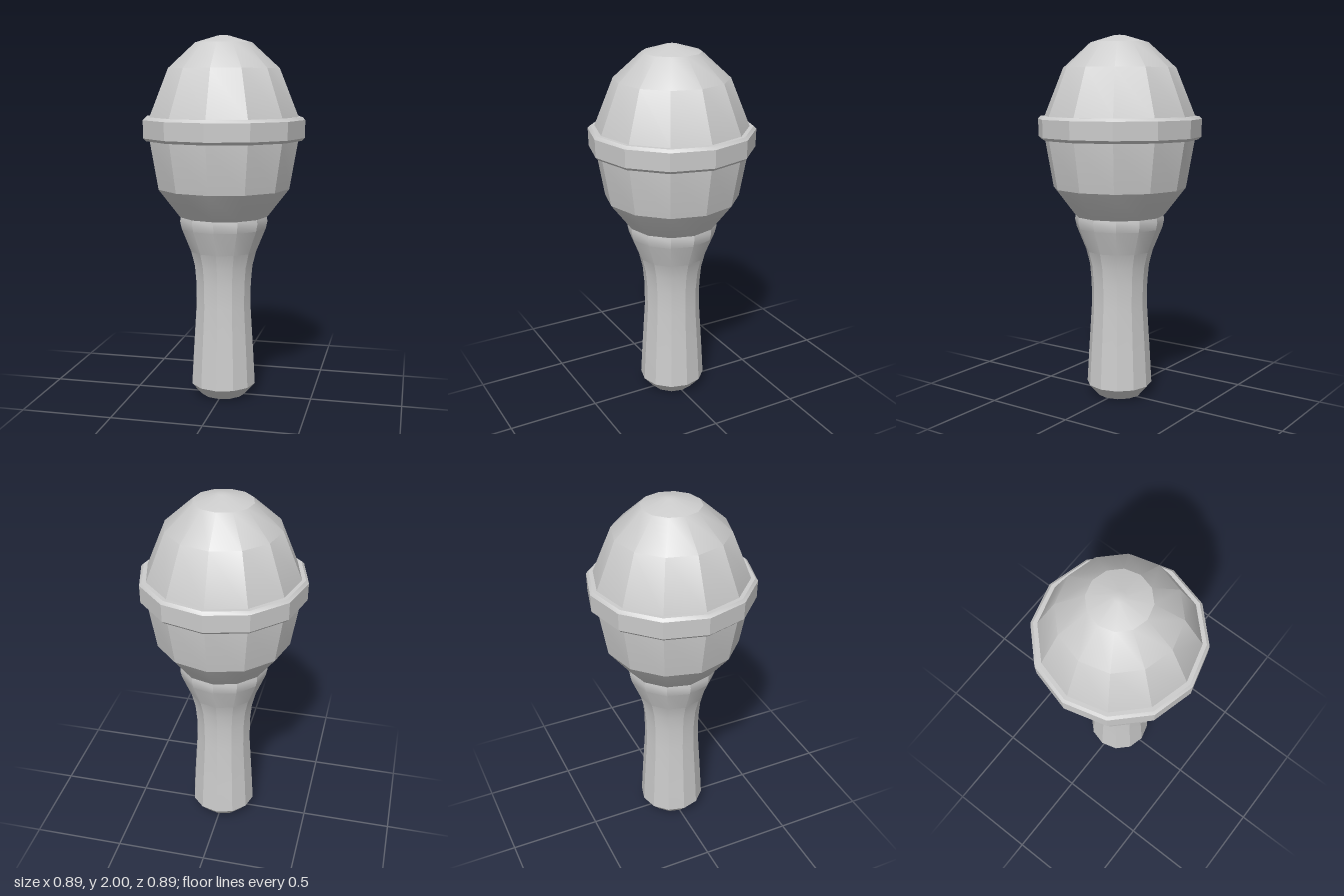
import * as THREE from 'three';
import { toCreasedNormals } from 'three/addons/utils/BufferGeometryUtils.js';

const SIDES = 12;

export function createModel() {
  const group = new THREE.Group();
  const grey = new THREE.MeshStandardMaterial({ color: 0xcccccc });

  // Turned part from [radius, height] pairs, listed bottom to top on the outside
  const turn = (name, profile, crease = 0.45) => {
    const points = profile.map(([r, y]) => new THREE.Vector2(r, y));
    const geometry = toCreasedNormals(new THREE.LatheGeometry(points, SIDES), crease);
    const mesh = new THREE.Mesh(geometry, grey);
    mesh.name = name;
    group.add(mesh);
  };

  // Waisted grip with chamfered foot and flared collar
  turn('handle', [
    [0, 0], [0.125, 0.005], [0.182, 0.07], [0.172, 0.25], [0.155, 0.52],
    [0.156, 0.65], [0.165, 0.75], [0.185, 0.83], [0.238, 0.96],
    [0.247, 1.0], [0.244, 1.025], [0.225, 1.035], [0, 1.035],
  ], 0.5);

  // Lower half of the head
  turn('headBase', [
    [0, 1.02], [0.24, 1.02], [0.25, 1.03], [0.365, 1.18], [0.41, 1.44], [0.41, 1.46],
  ]);

  // Band around the widest part, with small bevels
  turn('band', [
    [0.39, 1.442], [0.43, 1.442], [0.445, 1.457], [0.447, 1.553],
    [0.432, 1.568], [0.39, 1.568],
  ], 0.5);

  // Domed top
  turn('dome', [
    [0.418, 1.54], [0.41, 1.57], [0.307, 1.825], [0.158, 1.96], [0.03, 1.998], [0, 2],
  ]);

  return group;
}
